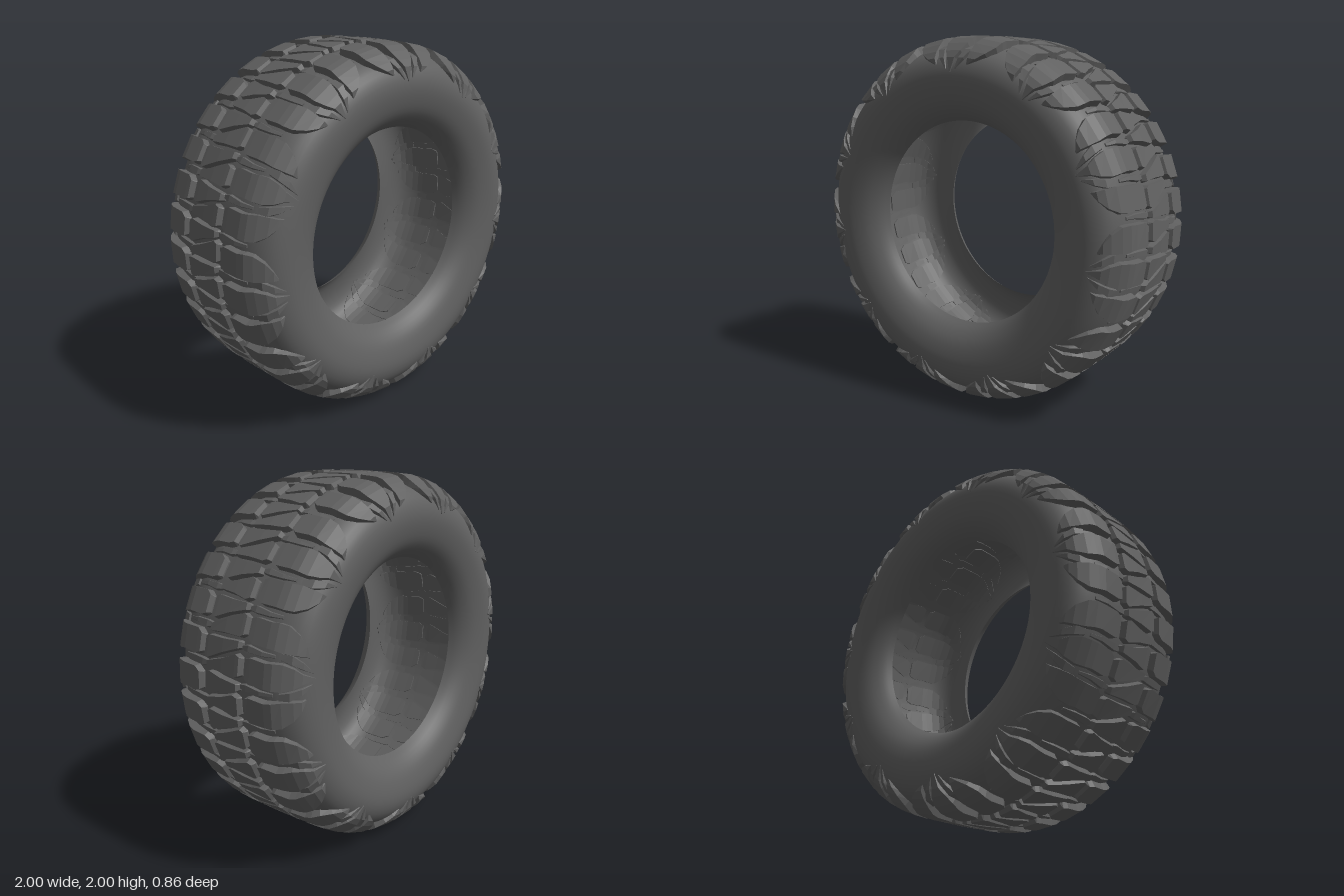
import * as THREE from 'three';
import { mergeGeometries } from 'three/addons/utils/BufferGeometryUtils.js';

const REPEATS = 11;                      // tread pattern repeats around the tyre
const PITCH = (Math.PI * 2) / REPEATS;
const STEP = PITCH / 3;                  // one lug

// Carcass section as (radius, z), from the crown to the bead
const half = [
  [0.967, 0], [0.964, 0.14], [0.95, 0.28], [0.912, 0.365], [0.855, 0.413],
  [0.77, 0.43], [0.66, 0.405], [0.59, 0.355], [0.555, 0.3],
];
const section = new THREE.SplineCurve([
  ...half.slice(1).reverse().map(([r, z]) => new THREE.Vector2(r, -z)),
  ...half.map(([r, z]) => new THREE.Vector2(r, z)),
]);
section.arcLengthDivisions = 600;
const sectionLength = section.getLength();

// Point at distance d from the crown line, at an angle, raised h off the carcass
function onCarcass(d, angle, h) {
  const u = 0.5 + d / sectionLength;
  const p = section.getPointAt(u), t = section.getTangentAt(u);
  const r = p.x + t.y * h, z = p.y - t.x * h;
  return [r * Math.sin(angle), r * Math.cos(angle), z];
}

// Raised rubber block lofted through rows of [distance, angle, half width, height]
function block(rows, offset) {
  const pos = [], index = [];
  for (const [d, angle, w, h] of rows) {
    const a = angle + offset;
    pos.push(
      ...onCarcass(d, a - w - 0.007, -0.008), ...onCarcass(d, a - w, h),
      ...onCarcass(d, a + w, h), ...onCarcass(d, a + w + 0.007, -0.008),
    );
  }
  for (let i = 0; i < rows.length - 1; i++) {
    for (let j = 0; j < 4; j++) {
      const a0 = i * 4 + j, b0 = i * 4 + ((j + 1) % 4);
      index.push(a0, b0 + 4, b0, a0, a0 + 4, b0 + 4);
    }
  }
  const e = (rows.length - 1) * 4;
  index.push(0, 1, 2, 0, 2, 3, e, e + 2, e + 1, e, e + 3, e + 2);
  const g = new THREE.BufferGeometry();
  g.setAttribute('position', new THREE.Float32BufferAttribute(pos, 3));
  g.setIndex(index);
  const flat = g.toNonIndexed();
  flat.computeVertexNormals();
  return flat;
}

// Tapered centre block; the three in a repeat differ a little
function centreRows(k) {
  const c = k * STEP, skew = 0.012 + 0.008 * k;
  return [
    [-0.112, c - skew, 0.012, 0.008],
    [-0.100, c - skew, 0.017, 0.031],
    [0.000, c, 0.033, 0.032],
    [0.090 + 0.012 * k, c + skew, 0.056, 0.032],
    [0.112 + 0.008 * k, c + skew, 0.045, 0.031],
    [0.122 + 0.008 * k, c + skew, 0.040, 0.008],
  ];
}

// Shoulder lug that wraps onto the sidewall; outer two lean to the middle spike
function shoulderRows(k) {
  const c = k * STEP, tip = k === 0 ? 0.5 : 0.455;
  return [
    [0.148, c + 0.012, 0.040, 0.008],
    [0.156, c + 0.012, 0.046, 0.034],
    [0.185, c + 0.006, 0.062, 0.036],
    [0.270, c, 0.060, 0.040],
    [0.305, c, 0.064, 0.040],
    [0.345, c * 0.97, 0.066, 0.032],
    [0.395, c * 0.88, 0.050, 0.024],
    [0.430, c * 0.76, 0.026, 0.018],
    [tip, c * 0.62, 0.003, 0.003],
  ];
}

// Thin sliver in the groove between two shoulder lugs
const sliverRows = (k) => [
  [0.085, (k + 0.5) * STEP + 0.012, 0.004, 0.006],
  [0.150, (k + 0.5) * STEP + 0.010, 0.016, 0.018],
  [0.230, (k + 0.5) * STEP, 0.010, 0.014],
  [0.300, (k + 0.5) * STEP, 0.006, 0.006],
];

// Claw-like fin on the sidewall beside the middle spike
const finRows = (side) => [
  [0.330, side * 0.100, 0.016, 0.010],
  [0.380, side * 0.092, 0.022, 0.020],
  [0.430, side * 0.068, 0.016, 0.016],
  [0.485, side * 0.035, 0.003, 0.003],
];

export function createModel() {
  const model = new THREE.Group();
  model.name = 'tyre';
  const tyre = new THREE.Group();
  tyre.position.y = 1;
  model.add(tyre);

  const rubber = new THREE.MeshStandardMaterial({ color: 0x606060, side: THREE.DoubleSide });
  const treadRubber = new THREE.MeshStandardMaterial({ color: 0x606060, flatShading: true });

  // Smooth open carcass
  const carcass = new THREE.Mesh(
    new THREE.LatheGeometry(section.getSpacedPoints(56), 132).rotateX(Math.PI / 2), rubber);
  carcass.name = 'carcass';
  tyre.add(carcass);

  // Front half of the tread
  const ring = (name, kinds, rowsOf) => {
    const parts = [];
    for (let i = 0; i < REPEATS; i++) {
      for (const k of kinds) parts.push(block(rowsOf(k), i * PITCH));
    }
    const mesh = new THREE.Mesh(mergeGeometries(parts), treadRubber);
    mesh.name = name;
    return mesh;
  };
  const frontTread = new THREE.Group();
  frontTread.name = 'frontTread';
  frontTread.add(
    ring('centreBlocks', [-1, 0, 1], centreRows),
    ring('shoulderLugs', [-1, 0, 1], shoulderRows),
    ring('grooveSlivers', [-1, 0, 1], sliverRows),
    ring('sidewallFins', [-1, 1], finRows),
  );

  // Back half: same tread turned over, so its lugs fall between the front ones
  const backTread = frontTread.clone();
  backTread.name = 'backTread';
  backTread.rotation.x = Math.PI;
  tyre.add(frontTread, backTread);
  return model;
}
